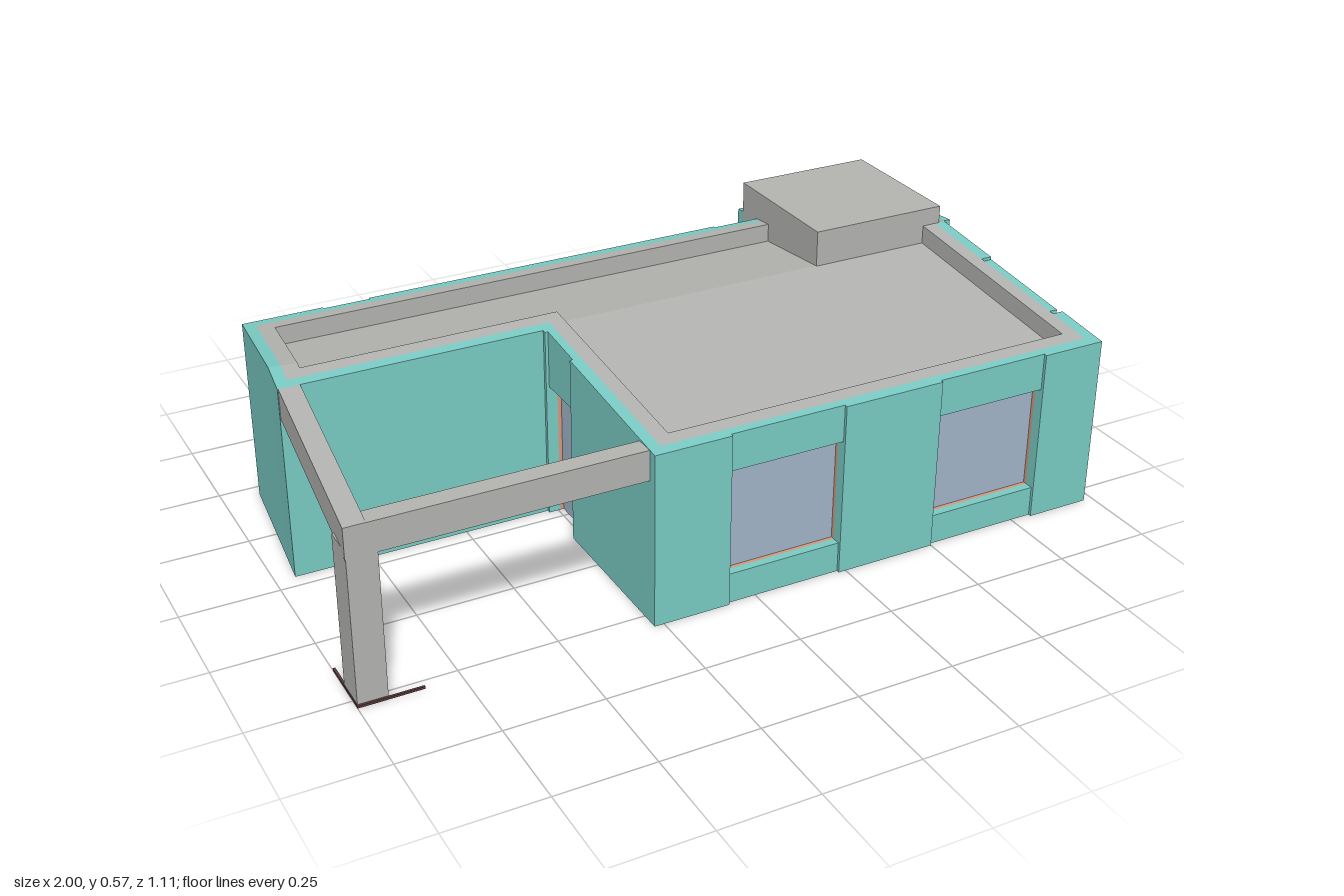
import * as THREE from 'three';

const material = (name, color) => {
  const m = new THREE.MeshStandardMaterial({ color });
  m.name = name;
  return m;
};

// Wall tops rise from the front to a ridge, then fall towards the back
const RIDGE = -0.14;
const wallTop = z => (z > RIDGE ? 0.522 - (z - RIDGE) * 0.094 : 0.522 + (z - RIDGE) * 0.1);
const below = d => z => wallTop(z) - d;

export function createModel() {
  const model = new THREE.Group();
  const teal = material('teal cladding', 0x7accc5);
  const grey = material('concrete grey', 0xb4b4b1);
  const orange = material('terracotta lining', 0xd6997f);
  const glass = material('blue grey glass', 0xa2b5c9);
  const purple = material('violet rail', 0x8f89c6);
  const dark = material('dark base', 0x5a3a3a);

  const add = (parent, name, geometry, mat) => {
    const mesh = new THREE.Mesh(geometry, mat);
    mesh.name = name;
    parent.add(mesh);
    return mesh;
  };
  const box = (name, mat, x0, x1, y0, y1, z0, z1, parent = model) => {
    const m = add(parent, name, new THREE.BoxGeometry(x1 - x0, y1 - y0, z1 - z0), mat);
    m.position.set((x0 + x1) / 2, (y0 + y1) / 2, (z0 + z1) / 2);
    return m;
  };

  // Four-cornered upright block; its bottom and top may depend on z
  const prism = (parent, name, mat, plan, bottom, top) => {
    const at = (y, z) => (typeof y === 'function' ? y(z) : y);
    const pts = [bottom, top].flatMap(y => plan.flatMap(([x, z]) => [x, at(y, z), z]));
    const index = [4, 5, 6, 4, 6, 7, 0, 2, 1, 0, 3, 2];
    for (let i = 0; i < 4; i++) {
      const j = (i + 1) % 4;
      index.push(i, j, j + 4, i, j + 4, i + 4);
    }
    let g = new THREE.BufferGeometry();
    g.setAttribute('position', new THREE.Float32BufferAttribute(pts, 3));
    g.setIndex(index);
    g = g.toNonIndexed();
    g.computeVertexNormals();
    return add(parent, name, g, mat);
  };

  // Moves each closed edge of an outline inwards by d, with mitred corners
  const inset = (edges, d) => {
    const n = edges.length;
    const lines = edges.map((e, i) => {
      const q = edges[(i + 1) % n].p;
      const dx = q[0] - e.p[0], dz = q[1] - e.p[1], l = Math.hypot(dx, dz);
      return { nx: -dz / l, nz: dx / l, d: e.open ? 0 : d };
    });
    return edges.map((e, i) => {
      const a = lines[(i + n - 1) % n], b = lines[i];
      const det = a.nx * b.nz - a.nz * b.nx;
      if (Math.abs(det) < 0.02) return [e.p[0] - b.nx * b.d, e.p[1] - b.nz * b.d];
      return [e.p[0] + (b.d * a.nz - a.d * b.nz) / det, e.p[1] + (a.d * b.nx - b.d * a.nx) / det];
    });
  };

  // Layered walls along an outline. Bay: [from, to, sill, head]; a bay with no sill is a joint
  const walls = (name, edges) => {
    const group = new THREE.Group();
    group.name = name;
    model.add(group);
    const n = edges.length;
    const point = (loop, i, c) => {
      const p = loop[i], q = loop[(i + 1) % n];
      if (c === 'start') return p;
      if (c === 'end') return q;
      const k = Math.abs(q[0] - p[0]) > Math.abs(q[1] - p[1]) ? 0 : 1;
      const t = (c - p[k]) / (q[k] - p[k]);
      return [p[0] + (q[0] - p[0]) * t, p[1] + (q[1] - p[1]) * t];
    };
    edges.forEach((edge, i) => {
      if (edge.open) return;
      const spans = [];
      let from = 'start';
      for (const bay of edge.bays || []) {
        spans.push({ from, to: bay[0] }, { from: bay[0], to: bay[1], bay });
        from = bay[1];
      }
      spans.push({ from, to: 'end' });
      for (const { from: a, to: b, bay } of spans) {
        if (a === b) continue;
        const slab = (label, mat, d0, d1, y0, y1) => {
          const outer = inset(edges, d0), inner = inset(edges, d1);
          const plan = [point(outer, i, a), point(outer, i, b), point(inner, i, b), point(inner, i, a)];
          prism(group, label, mat, plan, y0, y1);
        };
        const opening = bay && bay.length > 2;
        const layer = (label, mat, d0, d1, top) => {
          if (!opening) return slab(label, mat, d0, d1, 0, top);
          if (bay[2] > 0) slab(label, mat, d0, d1, 0, bay[2]);
          slab(label, mat, d0, d1, bay[3], top);
        };
        if (!bay || opening) layer('cladding', edge.mat || teal, opening ? 0.008 : 0, 0.03, wallTop);
        layer('backing', orange, 0.03, 0.045, below(0.01));
        slab('parapetCap', grey, 0.03, 0.045, below(0.01), wallTop);
        layer('core', grey, 0.045, 0.07, wallTop);
        layer('lining', orange, 0.07, 0.085, below(0.07));
        if (opening) slab('pane', glass, 0.04, 0.047, bay[2], bay[3]);
      }
    });
  };

  // Main house
  walls('houseWalls', [
    { p: [-0.275, 0.55], bays: [[-0.075, 0.23, 0.08, 0.36], [0.5, 0.805, 0.08, 0.36]] },
    { p: [0.975, 0.55], bays: [[0.39, 0.377], [0.377, 0.092, 0.2, 0.36], [0.092, 0.08]] },
    { p: [0.975, RIDGE], open: true },
    { p: [0.57, RIDGE], open: true },
    { p: [0.57, -0.46], bays: [[0.568, 0.435, 0, 0.36], [-0.57, -0.695, 0.08, 0.36]] },
    { p: [-0.905, -0.46] },
    { p: [-0.939, RIDGE] },
    { p: [-0.95, -0.04] },
    { p: [-0.275, -0.04], bays: [[-0.03, 0.11, 0, 0.36]] },
  ]);

  // Rear corner room
  walls('cornerRoomWalls', [
    { p: [0.57, RIDGE], mat: orange },
    { p: [0.975, RIDGE] },
    { p: [0.995, RIDGE] },
    { p: [0.995, -0.56] },
    { p: [0.57, -0.56] },
    { p: [0.57, -0.46], mat: orange },
  ]);
  box('roofHousing', grey, 0.568, 0.957, 0.43, 0.57, -0.53, -0.137);

  // Roof planes sunk behind the parapet
  const roof = (name, plan) => prism(model, name, grey, plan, below(0.08), below(0.05));
  roof('frontRoof', [[-0.21, 0.485], [0.91, 0.485], [0.91, RIDGE], [-0.21, RIDGE]]);
  roof('leftRoof', [[-0.88, -0.105], [-0.21, -0.105], [-0.21, RIDGE], [-0.875, RIDGE]]);
  roof('backRoof', [[-0.875, RIDGE], [0.575, RIDGE], [0.575, -0.395], [-0.845, -0.395]]);

  // Open corner frame: two beams on an angled post
  prism(model, 'sideBeam', grey,
    [[-1, 0.525], [-0.947, 0.525], [-0.895, -0.04], [-0.948, -0.04]], below(0.08), wallTop);
  box('frontBeam', grey, -0.95, -0.275, 0.38, 0.459, 0.475, 0.525);
  const post = new THREE.Group();
  post.name = 'cornerPost';
  model.add(post);
  box('postFront', grey, -0.998, -0.925, 0, 0.4, 0.495, 0.525, post);
  box('postSide', grey, -0.998, -0.965, 0, 0.4, 0.44, 0.495, post);
  box('frontFootStrip', dark, -1, -0.84, 0, 0.006, 0.525, 0.531, post);
  box('sideFootStrip', dark, -1, -0.994, 0, 0.006, 0.37, 0.525, post);

  // Wall vents on the back
  for (const x of [-0.1, -0.36]) {
    box('ventPlate', grey, x - 0.018, x + 0.018, 0.32, 0.355, -0.466, -0.458);
    box('ventOpening', orange, x - 0.009, x + 0.009, 0.328, 0.346, -0.469, -0.464);
  }

  // Floor rails inside
  for (let i = 0; i < 2; i++) {
    const s = i * 0.04;
    box('longRail', purple, -0.18 + s, 0.54, 0.004, 0.018, -0.06 + s, -0.045 + s);
    box('crossRail', purple, -0.18 + s, -0.165 + s, 0.004, 0.018, -0.045 + s, 0.45);
    box('shortRail', purple, 0.36 + s, 0.375 + s, 0.004, 0.018, -0.36, -0.06 + s);
  }
  box('innerPier', grey, -0.21, -0.17, 0, 0.42, -0.2, -0.12);

  return model;
}
